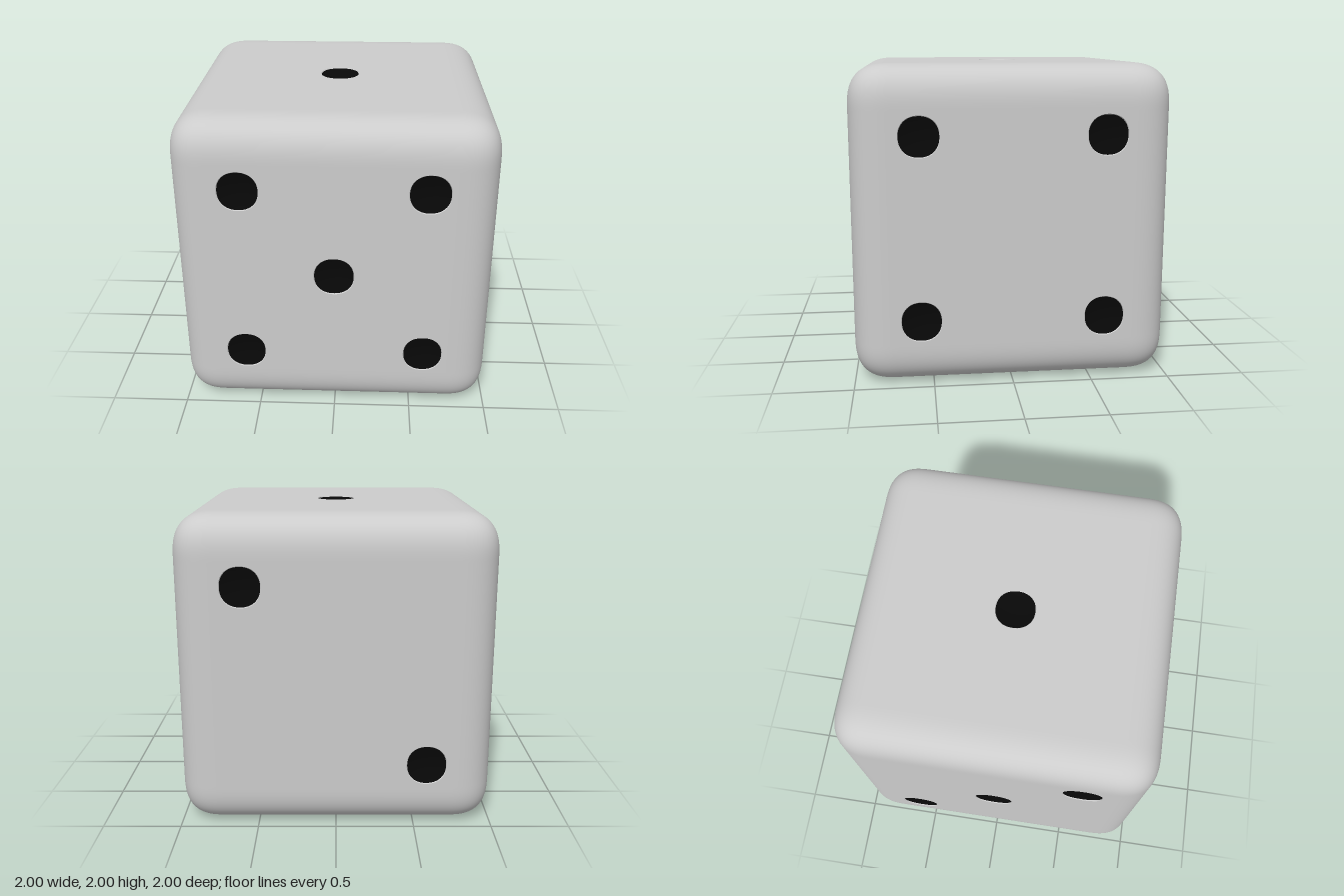
import * as THREE from 'three';

const FLAT = 0.72;      // half width of each flat face
const R = 1 - FLAT;     // width of the rounded border
const POWER = 2.8;      // softness of the rounding
const PIP = 0.123;      // pip radius
const LIP = 0.127;      // outer radius of the pip's lip
const S = 0.573;        // pip offset from the face centre
const PIP_SEGMENTS = 48;

// Slightly squared circle: radius factor for a direction (x, y)
function squircle(x, y) {
  const l = Math.hypot(x, y);
  if (l < 1e-6) return 1;
  const n = 2.2;
  return Math.pow(Math.pow(Math.abs(x / l), n) + Math.pow(Math.abs(y / l), n), -1 / n);
}

// Rounded edges and corners of the cube, leaving the six flat faces open
function roundedFrame() {
  const k = 10, n = 2 * k + 1;
  const geo = new THREE.BoxGeometry(2, 2, 2, n, n, n);
  const pos = geo.attributes.position, nor = geo.attributes.normal;
  // Offset past the flat part, 0..1, spread evenly by angle
  const excess = (c) => {
    const steps = Math.round(((Math.abs(c) + 1) / 2) * n) - (k + 1);
    return Math.tan((Math.max(steps, 0) / k) * Math.PI / 4);
  };
  const flat = [];
  for (let i = 0; i < pos.count; i++) {
    const p = [pos.getX(i), pos.getY(i), pos.getZ(i)];
    const d = p.map(excess);
    flat.push(d.filter((v) => v < 1e-6).length === 2);
    const len = Math.pow(d.reduce((s, v) => s + Math.pow(v, POWER), 0), 1 / POWER);
    const out = p.map((c, j) => Math.sign(c) * (FLAT + R * d[j] / len));
    const normal = new THREE.Vector3(...p.map((c, j) => Math.sign(c) * Math.pow(d[j] / len, POWER - 1))).normalize();
    pos.setXYZ(i, ...out);
    nor.setXYZ(i, normal.x, normal.y, normal.z);
  }
  const index = [];
  const old = geo.index.array;
  for (let i = 0; i < old.length; i += 3) {
    const tri = [old[i], old[i + 1], old[i + 2]];
    if (!tri.every((v) => flat[v])) index.push(...tri);
  }
  geo.setIndex(index);
  geo.clearGroups();
  return geo;
}

// Flat square panel with a hole for each pip
function facePanel(pips) {
  const corners = [[-1, -1], [1, -1], [1, 1], [-1, 1]];
  const shape = new THREE.Shape(corners.map(([x, y]) => new THREE.Vector2(x * FLAT, y * FLAT)));
  for (const [px, py] of pips) {
    const ring = [];
    for (let i = 0; i < PIP_SEGMENTS; i++) {
      const a = (-i / PIP_SEGMENTS) * Math.PI * 2;
      const x = Math.cos(a), y = Math.sin(a), r = LIP * squircle(x, y);
      ring.push(new THREE.Vector2(px + x * r, py + y * r));
    }
    shape.holes.push(new THREE.Path(ring));
  }
  return new THREE.ShapeGeometry(shape);
}

// Turned profile, squared off slightly and facing +z
function turned(profile) {
  const geo = new THREE.LatheGeometry(profile.map(([r, h]) => new THREE.Vector2(r, h)), PIP_SEGMENTS);
  geo.rotateX(Math.PI / 2);
  const pos = geo.attributes.position;
  for (let i = 0; i < pos.count; i++) {
    const x = pos.getX(i), y = pos.getY(i), f = squircle(x, y);
    pos.setXY(i, x * f, y * f);
  }
  return geo;
}

export function createModel() {
  const body = new THREE.MeshStandardMaterial({ color: 0xcccccc });
  const black = new THREE.MeshStandardMaterial({ color: 0x080808 });
  const model = new THREE.Group();
  model.name = 'die';

  const add = (parent, name, geo, mat, x = 0, y = 0, z = 0) => {
    const mesh = new THREE.Mesh(geo, mat);
    mesh.name = name;
    mesh.position.set(x, y, z);
    parent.add(mesh);
  };

  add(model, 'roundedEdges', roundedFrame(), body, 0, 1, 0);

  // Pip recess: a narrow lip and a shallow bowl
  const lip = turned([[LIP, 0], [PIP, -0.006]]);
  const bowlProfile = [];
  for (let i = 0; i <= 8; i++) {
    const r = 1 - i / 8;
    bowlProfile.push([PIP * r, -0.006 - 0.024 * (1 - r * r)]);
  }
  const bowl = turned(bowlProfile);

  // Pip layouts in each face's own x, y
  const corners = [[-S, S], [S, S], [-S, -S], [S, -S]];
  const Q = Math.PI / 2;
  const faces = [
    ['frontFace', 0, 0, [...corners, [0, 0]]],
    ['rightFace', 0, Q, corners],
    ['backFace', 0, 2 * Q, [[-S, S], [S, -S]]],
    ['leftFace', 0, -Q, [[S, S], [0, 0], [-S, -S]]],
    ['topFace', -Q, 0, [[0, 0]]],
    ['bottomFace', Q, 0, [...corners, [-S, 0], [S, 0]]],
  ];
  for (const [name, rx, ry, pips] of faces) {
    const face = new THREE.Group();
    face.name = name;
    face.position.y = 1;
    face.rotation.set(rx, ry, 0);
    add(face, 'panel', facePanel(pips), body, 0, 0, 1);
    for (const [x, y] of pips) {
      add(face, 'pipLip', lip, body, x, y, 1);
      add(face, 'pip', bowl, black, x, y, 1);
    }
    model.add(face);
  }
  return model;
}
